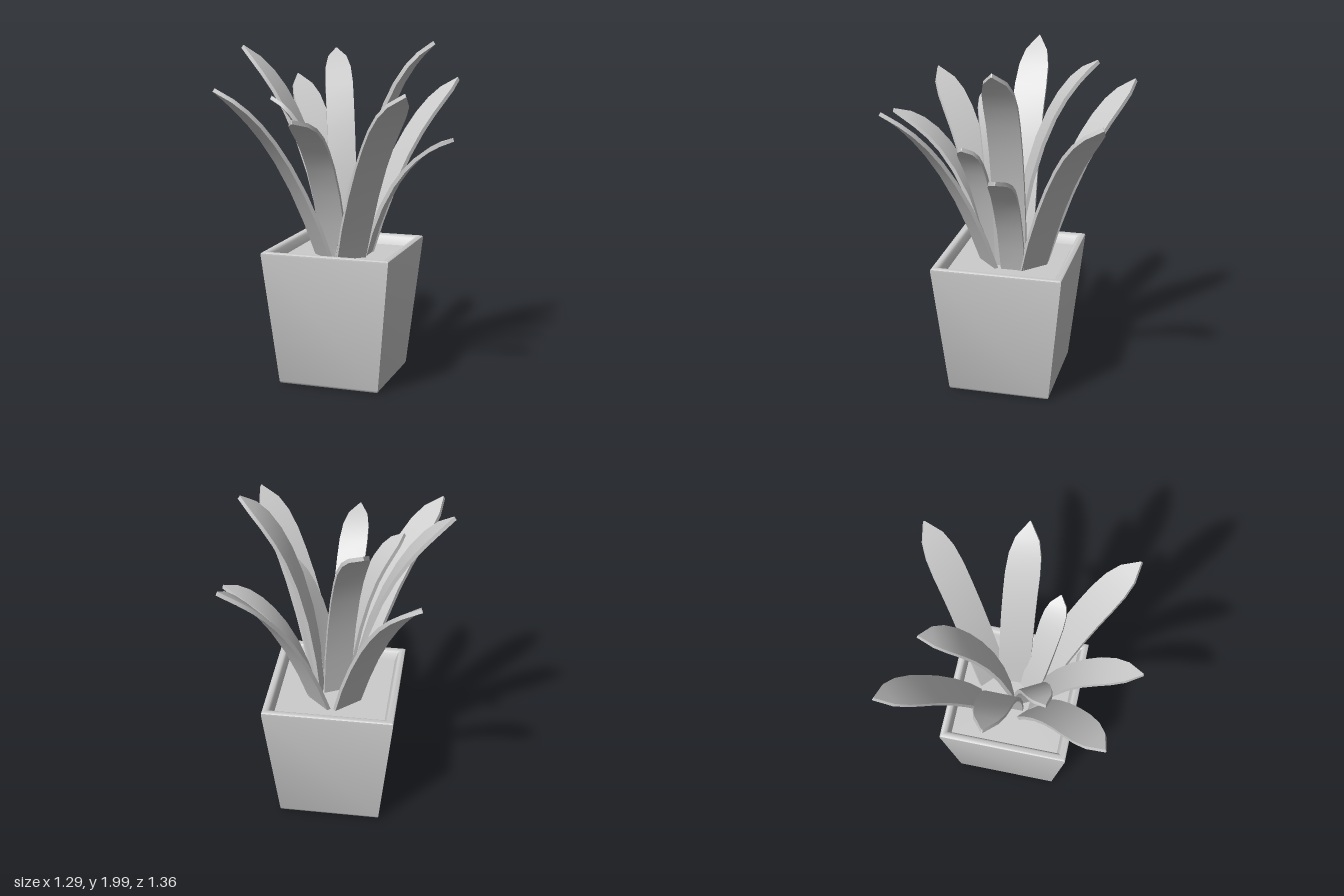
import * as THREE from 'three';
import { toCreasedNormals } from 'three/addons/utils/BufferGeometryUtils.js';

const material = new THREE.MeshStandardMaterial({ color: 0xcccccc });
const SOIL_Y = 0.74;

// A square solid swept from a half-width / height profile
function squareLathe(profile) {
  const points = profile.map(([half, y]) => new THREE.Vector2(half * Math.SQRT2, y));
  return toCreasedNormals(new THREE.LatheGeometry(points, 4, Math.PI / 4), 0.8);
}

// Half-width of a blade along its length: parallel sides, then a pointed tip
const STATIONS = [
  [0, 0.95], [0.15, 1], [0.3, 1], [0.45, 1], [0.58, 1], [0.69, 1], [0.8, 0.92], [0.895, 0.68], [1, 0.03],
];

// A thin strap swept along a quadratic curve, four corners per cross-section
function leafGeometry(base, bend, tip, width, thickness = 0.022) {
  const curve = new THREE.QuadraticBezierCurve3(
    new THREE.Vector3(...base), new THREE.Vector3(...bend), new THREE.Vector3(...tip));
  const positions = [];
  const index = [];
  const up = new THREE.Vector3(0, 1, 0);
  STATIONS.forEach(([t, taper], i) => {
    const centre = curve.getPoint(t);
    const tangent = curve.getTangent(t);
    const side = new THREE.Vector3().crossVectors(up, tangent).normalize();
    const normal = new THREE.Vector3().crossVectors(tangent, side);
    for (const [a, b] of [[1, 1], [-1, 1], [-1, -1], [1, -1]]) {
      const p = centre.clone()
        .addScaledVector(side, a * taper * width / 2)
        .addScaledVector(normal, b * thickness / 2);
      positions.push(p.x, p.y, p.z);
    }
    if (i === 0) return;
    for (let j = 0; j < 4; j++) {
      const k = (j + 1) % 4;
      const lo = (i - 1) * 4, hi = i * 4;
      index.push(lo + j, lo + k, hi + k, lo + j, hi + k, hi + j);
    }
  });
  // End caps
  const e = (STATIONS.length - 1) * 4;
  index.push(0, 2, 1, 0, 3, 2, e, e + 1, e + 2, e, e + 2, e + 3);

  const geometry = new THREE.BufferGeometry();
  geometry.setAttribute('position', new THREE.Float32BufferAttribute(positions, 3));
  geometry.setIndex(index);
  return toCreasedNormals(geometry, 0.6);
}

export function createModel() {
  const model = new THREE.Group();
  model.name = 'pottedPlant';
  const add = (name, geometry, parent = model) => {
    const mesh = new THREE.Mesh(geometry, material);
    mesh.name = name;
    parent.add(mesh);
    return mesh;
  };

  // Tapered square pot with a rounded rim, and the soil inside it
  const pot = add('pot', squareLathe([
    [0, 0], [0.286, 0], [0.296, 0.004], [0.301, 0.016],
    [0.38, 0.784], [0.379, 0.794], [0.371, 0.8],
    [0.354, 0.8], [0.343, 0.795], [0.335, 0.783], [0.318, SOIL_Y - 0.01],
  ]));
  const soil = add('soil', squareLathe([[0.322, SOIL_Y], [0, SOIL_Y]]));
  for (const part of [pot, soil]) part.position.set(0.006, 0, -0.043);

  const leaves = new THREE.Group();
  leaves.name = 'leaves';
  model.add(leaves);
  const y0 = SOIL_Y - 0.03;

  // Name, base, bend, tip, width
  const blades = [
    ['frontLeftLeaf', [0.075, y0, 0.06], [0.255, 1.49, 0.255], [0.535, 1.74, 0.55], 0.19],
    ['frontRightLeaf', [-0.075, y0, 0.06], [-0.26, 1.49, 0.255], [-0.55, 1.74, 0.55], 0.19],
    ['backLeftLeaf', [0.075, y0, -0.19], [0.255, 1.49, -0.385], [0.535, 1.74, -0.66], 0.19],
    ['backRightLeaf', [-0.075, y0, -0.19], [-0.255, 1.49, -0.385], [-0.52, 1.74, -0.68], 0.19],
    ['tallLeftLeaf', [0.085, y0, -0.065], [0.16, 1.74, -0.065], [0.53, 1.985, -0.065], 0.19],
    ['tallRightLeaf', [-0.08, y0, -0.065], [-0.22, 1.65, -0.065], [-0.64, 1.945, -0.07], 0.19],
    ['lowLeftLeaf', [0.13, y0, -0.09], [0.27, 1.33, -0.09], [0.64, 1.435, -0.11], 0.145],
    ['backLeaf', [0, y0, -0.055], [-0.055, 1.74, -0.165], [-0.2, 1.915, -0.505], 0.165],
    ['frontLeaf', [-0.015, y0, 0.06], [-0.025, 1.52, 0.25], [-0.048, 1.595, 0.675], 0.165],
    ['innerRightLeaf', [-0.03, y0, 0.02], [-0.125, 1.54, 0.075], [-0.355, 1.675, 0.2], 0.15],
    ['innerLeftLeaf', [0.03, y0, 0.03], [0.125, 1.41, 0.12], [0.355, 1.515, 0.15], 0.14],
  ];
  for (const [name, ...shape] of blades) add(name, leafGeometry(...shape), leaves);
  return model;
}
